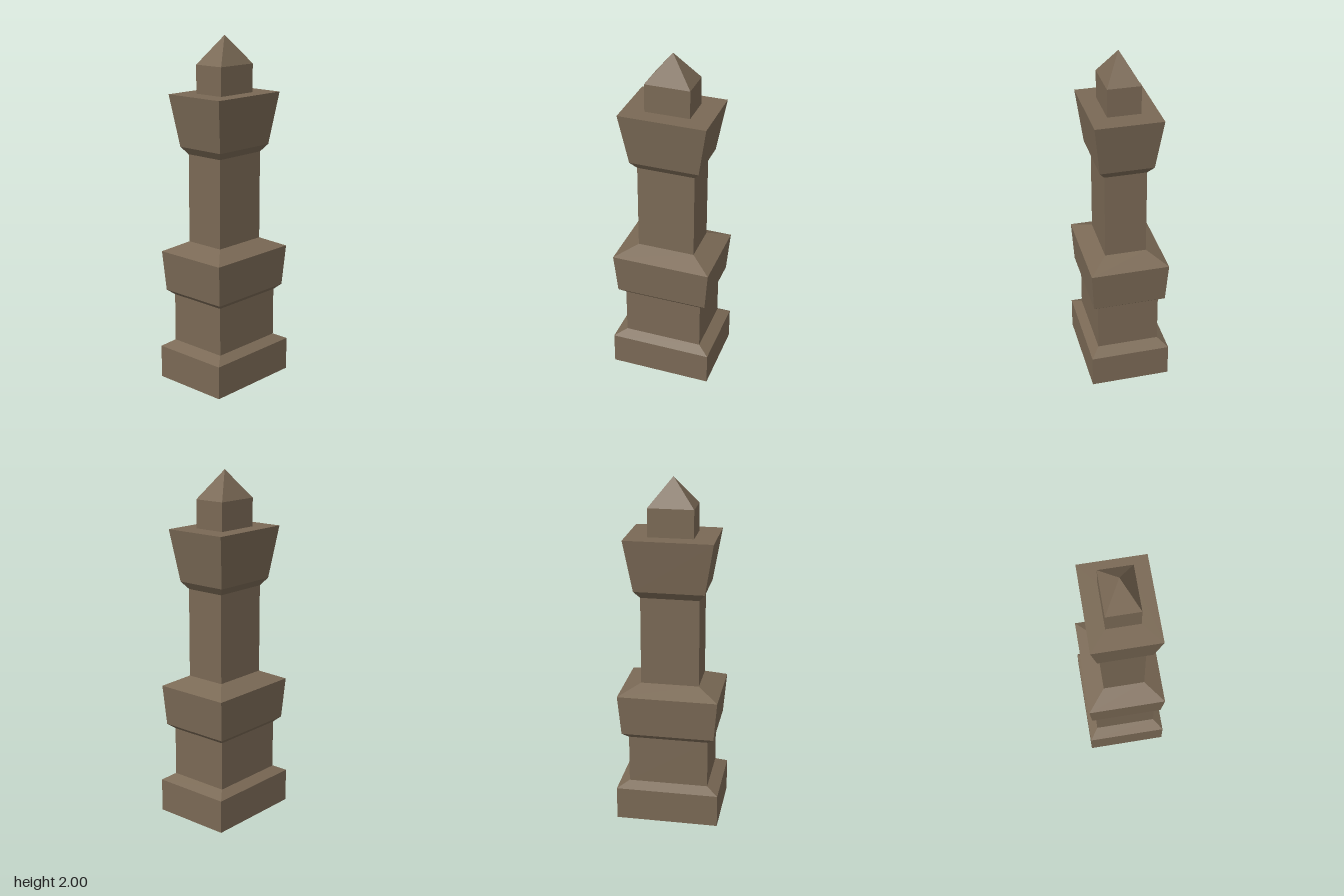
import * as THREE from 'three';

const stone = new THREE.MeshStandardMaterial({ color: 0x7a6955 });
stone.name = 'brownStone';

// The four corners of a rectangular section [y, half width, half depth]
const ring = ([y, w, d]) => [[w, y, d], [w, y, -d], [-w, y, -d], [-w, y, d]];

// Flat-sided skin through stacked rectangular sections, bottom to top
function loft(name, sections) {
  const positions = [];
  for (let i = 0; i < sections.length - 1; i++) {
    const low = ring(sections[i]);
    const high = ring(sections[i + 1]);
    for (let k = 0; k < 4; k++) {
      const n = (k + 1) % 4;
      // Sections of zero width are points, so they need one triangle per side
      if (sections[i][1] > 0) positions.push(...low[k], ...low[n], ...high[n]);
      if (sections[i + 1][1] > 0) positions.push(...low[k], ...high[n], ...high[k]);
    }
  }
  const geometry = new THREE.BufferGeometry();
  geometry.setAttribute('position', new THREE.Float32BufferAttribute(positions, 3));
  geometry.computeVertexNormals();
  const mesh = new THREE.Mesh(geometry, stone);
  mesh.name = name;
  return mesh;
}

export function createModel() {
  const group = new THREE.Group();
  group.name = 'stonePillar';
  group.add(
    // Plinth with closed underside and sloped shoulder
    loft('plinth', [[0, 0, 0], [0, 0.297, 0.232], [0.193, 0.297, 0.232], [0.228, 0.23, 0.18]]),
    loft('lowerShaft', [[0.228, 0.23, 0.18], [0.51, 0.23, 0.18]]),
    // Flared collar with sloped top
    loft('middleCollar', [[0.51, 0.23, 0.18], [0.54, 0.267, 0.211], [0.775, 0.287, 0.225], [0.83, 0.167, 0.12]]),
    loft('upperShaft', [[0.83, 0.167, 0.12], [1.34, 0.167, 0.12]]),
    // Flared head with a flat ledge around the finial
    loft('head', [[1.34, 0.167, 0.12], [1.383, 0.2, 0.153], [1.68, 0.25, 0.19], [1.68, 0.129, 0.094]]),
    // Small block with a pyramid point
    loft('finialBlock', [[1.68, 0.129, 0.094], [1.84, 0.129, 0.094]]),
    loft('finialPoint', [[1.84, 0.129, 0.094], [2, 0, 0]]),
  );
  return group;
}
